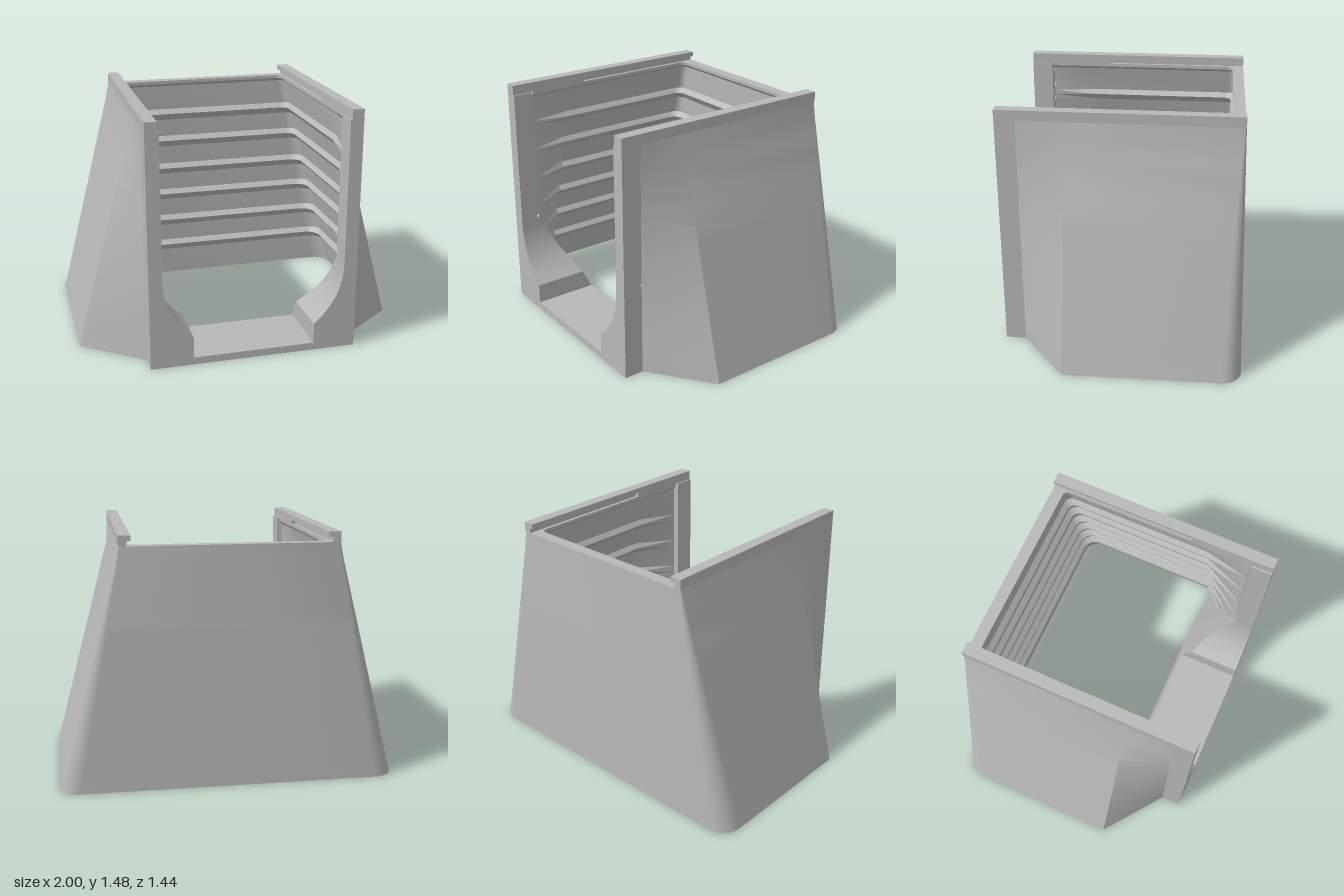
import * as THREE from 'three';
import { toCreasedNormals } from 'three/addons/utils/BufferGeometryUtils.js';
import { ConvexGeometry } from 'three/addons/geometries/ConvexGeometry.js';

const TOP = 1.42;
const lerp = THREE.MathUtils.lerp;
const sideX = (y) => Math.max(0.63, 1 - (0.37 * y) / 1.4);

// U-shaped horizontal section: left front, round the back, right front
function ring(y, x, frontX, frontZ, cornerZ, backZ, r) {
  const half = [[frontX, frontZ], [x, cornerZ]];
  for (let i = 0; i <= 8; i++) {
    const a = (i / 8) * Math.PI / 2;
    half.push([x - r + r * Math.cos(a), backZ + r - r * Math.sin(a)]);
  }
  const mirrored = half.map(([px, pz]) => [-px, pz]).reverse();
  return [...half, ...mirrored].map(([px, pz]) => [px, y, pz]);
}

function outerRing(y) {
  const t = y / TOP;
  return ring(y, sideX(y), 0.63, 0.6, 0.32, lerp(-0.72, -0.69, t), lerp(0.12, 0.01, t));
}

function innerRing(y, p) {
  const t = y / TOP;
  const x = Math.max(0.56, sideX(y) - 0.045 - p);
  return ring(y, x, Math.min(0.58, x), 0.58, 0.3, lerp(-0.675, -0.64, t) + p, lerp(0.1, 0.04, t));
}

// Hollow tapered wall with ribs round its inside
function shellGeometry() {
  const rows = [];
  for (let i = 0; i <= 14; i++) rows.push(outerRing((i / 14) * TOP));
  rows.push(innerRing(TOP, 0.02), innerRing(1.4, 0.02), innerRing(1.38, 0));
  for (const y of [1.19, 1.0, 0.8, 0.61, 0.415, 0.225]) {
    rows.push(innerRing(y + 0.03, 0), innerRing(y, 0.03), innerRing(y - 0.045, 0));
  }
  rows.push(innerRing(0, 0));

  const n = rows[0].length;
  const index = [];
  for (let j = 0; j < rows.length; j++) {
    const k = (j + 1) % rows.length;
    for (let i = 0; i < n - 1; i++) {
      const a = j * n + i, b = k * n + i;
      index.push(a, a + 1, b, a + 1, b + 1, b);
    }
  }
  const g = new THREE.BufferGeometry();
  g.setAttribute('position', new THREE.Float32BufferAttribute(rows.flat(2), 3));
  g.setIndex(index);
  return toCreasedNormals(g, 0.35);
}

// Lower front: curved opening with an inner face that slopes back to the sill
function lowerFrontGeometry() {
  const s = new THREE.Shape();
  s.moveTo(-0.63, 0);
  s.lineTo(0.63, 0);
  s.lineTo(0.63, 0.583);
  s.lineTo(0.55, 0.583);
  s.lineTo(0.55, 0.54);
  s.quadraticCurveTo(0.545, 0.35, 0.42, 0.22);
  s.lineTo(0.37, 0.17);
  s.lineTo(0.37, 0.045);
  s.lineTo(-0.37, 0.045);
  s.lineTo(-0.37, 0.17);
  s.lineTo(-0.42, 0.22);
  s.quadraticCurveTo(-0.545, 0.35, -0.55, 0.54);
  s.lineTo(-0.55, 0.583);
  s.lineTo(-0.63, 0.583);
  s.closePath();
  const g = new THREE.ExtrudeGeometry(s, { depth: 1, bevelEnabled: false, curveSegments: 14 });
  const pos = g.attributes.position;
  for (let i = 0; i < pos.count; i++) {
    pos.setZ(i, pos.getZ(i) > 0.5 ? 0.72 : 0.295 + 0.54 * pos.getY(i));
  }
  return toCreasedNormals(g, 0.35);
}

export function createModel() {
  const model = new THREE.Group();
  model.name = 'taperedHousing';
  const grey = new THREE.MeshStandardMaterial({ color: 0xb8b8b8 });
  grey.name = 'plainGrey';

  const add = (name, geometry) => {
    const mesh = new THREE.Mesh(geometry, grey);
    mesh.name = name;
    model.add(mesh);
  };
  const addBox = (name, x0, x1, y0, y1, z0, z1) => {
    const g = new THREE.BoxGeometry(Math.abs(x1 - x0), y1 - y0, z1 - z0);
    g.translate((x0 + x1) / 2, (y0 + y1) / 2, (z0 + z1) / 2);
    add(name, g);
  };

  add('ribbedShell', shellGeometry());
  add('lowerFront', lowerFrontGeometry());

  for (const [side, s] of [['left', 1], ['right', -1]]) {
    // Upright beside the opening
    addBox(side + 'Post', s * 0.55, s * 0.63, 0.583, TOP, 0.59, 0.72);
    // Top rail with a long slot under its inner lip
    addBox(side + 'RailFront', s * 0.56, s * 0.63, TOP, 1.48, 0.21, 0.72);
    addBox(side + 'RailWeb', s * 0.585, s * 0.63, TOP, 1.45, -0.69, 0.21);
    addBox(side + 'RailLip', s * 0.56, s * 0.63, 1.45, 1.48, -0.69, 0.21);
    // Filler behind the slanted front corner
    add(side + 'CornerFiller', new ConvexGeometry([
      new THREE.Vector3(s * 0.62, 0, 0.295),
      new THREE.Vector3(s * 0.95, 0, 0.32),
      new THREE.Vector3(s * 0.62, 0, 0.59),
      new THREE.Vector3(s * 0.62, 0.5, 0.57),
    ]));
  }
  return model;
}
